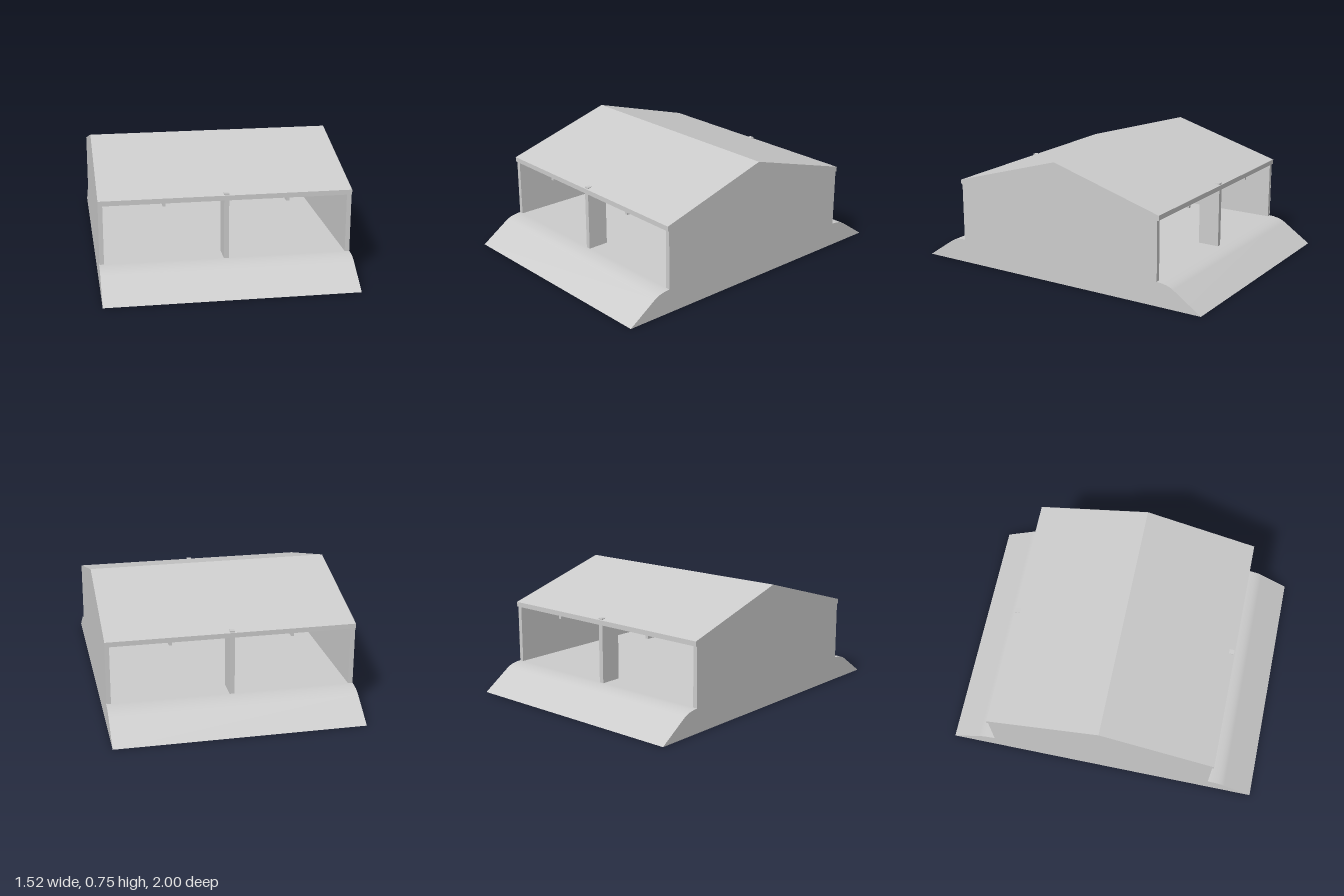
import * as THREE from 'three';

const HALF = 0.76;        // half width of the building
const EAVE = 0.72, EAVE_Y = 0.545, RIDGE_Y = 0.755, THICK = 0.03;
const FLOOR_Y = 0.15, WALL_Z = 0.71;

const solid = new THREE.MeshStandardMaterial({ color: 0xcccccc });
const sheet = new THREE.MeshStandardMaterial({ color: 0xcccccc, side: THREE.DoubleSide });

// Mirrors a half profile of [z, y] points (front to middle) to the back
const mirrored = (half) => [...half, ...half.filter(([z]) => z > 0).reverse().map(([z, y]) => [-z, y])];
const shapeOf = (points) => new THREE.Shape(points.map(([z, y]) => new THREE.Vector2(z, y)));

// Extrudes a z-y outline along x, centred on x
function extrudeX(points, width, x) {
  const g = new THREE.ExtrudeGeometry(shapeOf(points), { depth: width, bevelEnabled: false });
  return g.rotateY(-Math.PI / 2).translate(x + width / 2, 0, 0);
}

export function createModel() {
  const group = new THREE.Group();
  const add = (name, geometry, material = solid) => {
    const mesh = new THREE.Mesh(geometry, material);
    mesh.name = name;
    group.add(mesh);
    return mesh;
  };
  const box = (name, w, h, d, x, y, z) => add(name, new THREE.BoxGeometry(w, h, d).translate(x, y, z));

  // Pitched roof slab with vertical fascias
  const top = mirrored([[EAVE, EAVE_Y], [0, RIDGE_Y]]);
  const under = top.map(([z, y]) => [z, y - THICK]).reverse();
  add('roof', extrudeX([...top, ...under], 2 * HALF - 0.004, 0));

  // Raised floor sheet with a rounded ramp at each end, hollow below
  const ramp = [[1, 0], [0.82, 0.122], [0.8, 0.133], [0.775, 0.142], [0.74, 0.148], [WALL_Z, FLOOR_Y]];
  const profile = mirrored(ramp);
  const pos = [], index = [];
  profile.forEach(([z, y], i) => {
    pos.push(-HALF, y, z, HALF, y, z);
    if (i) {
      const a = 2 * i - 2;
      index.push(a, a + 1, a + 3, a, a + 3, a + 2);
    }
  });
  const floor = new THREE.BufferGeometry();
  floor.setAttribute('position', new THREE.Float32BufferAttribute(pos, 3));
  floor.setIndex(index);
  floor.computeVertexNormals();
  add('floorAndRamps', floor, sheet);

  // Side walls: an outer cladding down to the ground and an inner panel
  const cladding = mirrored([...ramp, [WALL_Z, 0.515], [EAVE, 0.515], [EAVE, EAVE_Y], [0, RIDGE_Y]]);
  const panel = mirrored([[WALL_Z, 0.02], [WALL_Z, 0.517], [0, RIDGE_Y - THICK]]);
  for (const side of [-1, 1]) {
    const name = side > 0 ? 'left' : 'right';
    const skin = new THREE.ShapeGeometry(shapeOf(cladding)).rotateY(side * Math.PI / 2);
    add(name + 'Cladding', skin.translate(side * HALF, 0, 0), sheet);
    add(name + 'WallPanel', extrudeX(panel, 0.027, side * 0.7445));
  }

  // Middle posts at the open front and back
  for (const end of [-1, 1]) {
    const post = [[end * 0.715, FLOOR_Y - 0.01], [end * 0.715, 0.556], [end * 0.58, 0.556], [end * 0.58, FLOOR_Y - 0.01]];
    add(end > 0 ? 'frontPost' : 'backPost', extrudeX(post, 0.03, 0));
  }

  // Ceiling grid: cross beams along x, tie beams along z
  for (const z of [-0.5, 0, 0.5]) box('crossBeam', 1.47, 0.025, 0.025, 0, 0.505, z);
  for (const x of [-0.37, 0, 0.37]) box('tieBeam', 0.018, 0.026, 1.41, x, 0.504, 0);

  return group;
}
